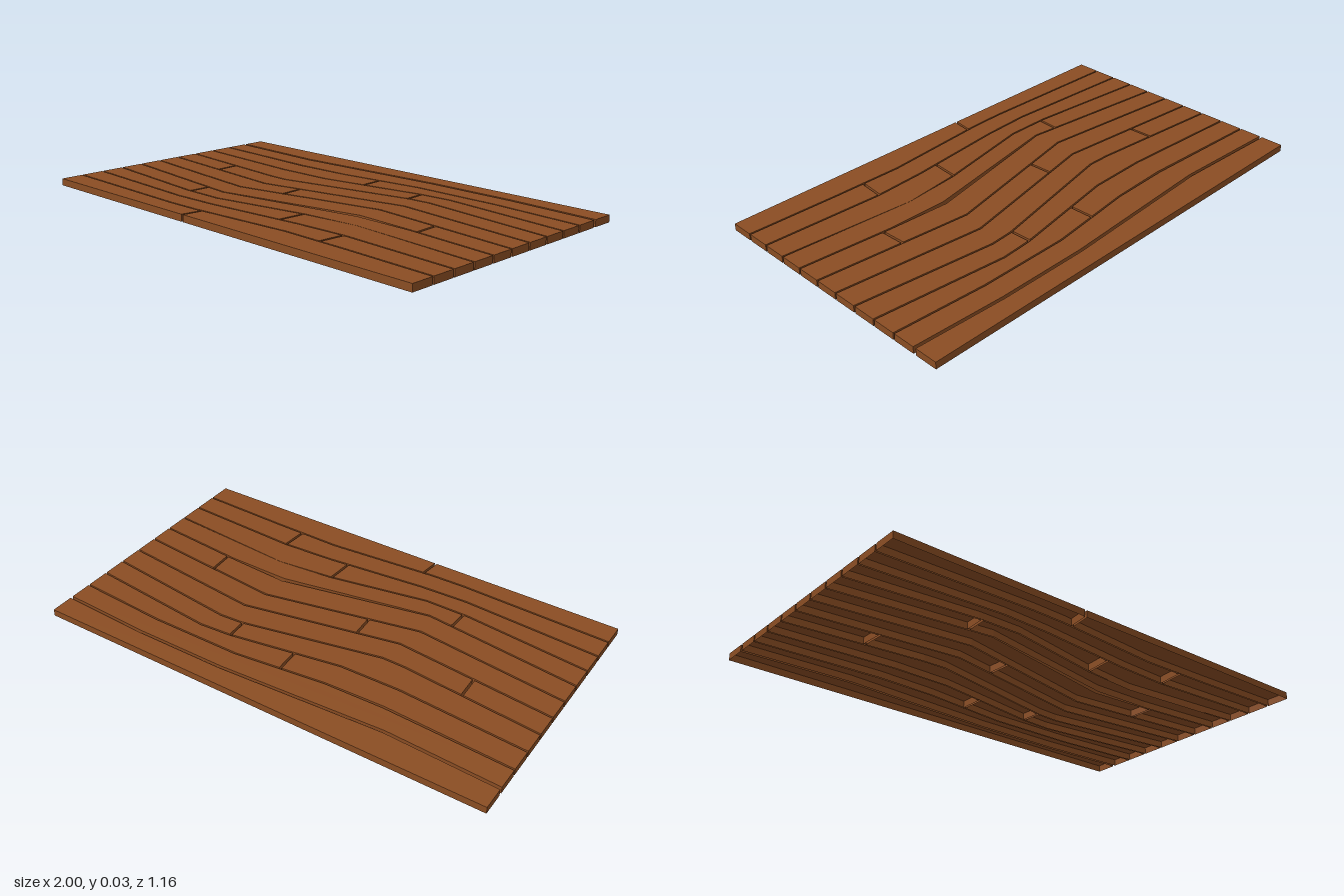
import * as THREE from 'three';

const HEIGHT = 0.03;
const JOINT = 0.01;
const GAP = 0.007;

// Bends of each seam, back to front: [x, offset from its straight line, gap if unusual]
const bends = [
  [[-0.52, 0.02], [0.2, -0.018], [0.6, -0.018]],
  [[-0.45, 0.026, 0.01], [-0.19, 0.019], [0.2, -0.025], [0.6, -0.025]],
  [[-0.45, 0.035], [-0.19, 0.031], [0.29, -0.049], [0.43, -0.058]],
  [[-0.4, 0.056], [-0.3, 0.058], [0.3, -0.064], [0.4, -0.07]],
  [[-0.31, 0.065], [0.36, -0.068]],
  [[-0.34, 0.072], [0.33, -0.065], [0.51, -0.048]],
  [[-0.32, 0.078], [0.33, -0.045, 0.02], [0.6, -0.035]],
  [[-0.45, 0.054], [-0.26, 0.055], [0.17, -0.023], [0.42, -0.046, 0.001]],
  [[-0.4, 0.033], [-0.19, 0.025], [0.25, -0.016], [0.48, -0.026]],
  [[-0.34, 0.019], [-0.19, 0.016], [0.29, -0.02], [0.6, -0.014]],
];

// Butt joints by row: [x at the middle, slant from back edge to front edge]
const joints = {
  2: [0.003, 0.004], 3: [0.29, 0.005], 4: [-0.66, 0.004], 5: [-0.127, 0.006],
  6: [0.634, 0.005], 7: [-0.431, -0.004], 8: [0.162, -0.008], 9: [0.472, -0.009],
  10: [-0.153, -0.01],
};

// Seam lines are evenly spaced; the first one is wider
function makeSeam(points, i) {
  const z = -0.475 + 0.1058 * i;
  const width = i === 0 ? 0.013 : GAP;
  return [[-1, 0], ...points, [1, 0]].map(([x, dz, gap = width]) => [x, z + dz, gap]);
}

const border = (z) => [[-1, z, 0], [1, z, 0]];
const seams = [border(-0.58), ...bends.map(makeSeam), border(0.58)];

// One edge of a seam between x0 and x1: side -1 is its back edge, +1 its front edge
function edgePoints(seam, side, x0, x1) {
  const edge = seam.map(([x, z, gap]) => [x, z + side * gap / 2]);
  const at = (x) => {
    const i = Math.max(1, edge.findIndex((p) => p[0] >= x));
    const [a, b] = [edge[i - 1], edge[i]];
    return [x, a[1] + (b[1] - a[1]) * (x - a[0]) / (b[0] - a[0])];
  };
  return [at(x0), ...edge.filter(([x]) => x > x0 + 0.002 && x < x1 - 0.002), at(x1)];
}

// A plank is an extruded outline, open underneath
function plankGeometry(back, front, left, right) {
  const outline = [
    ...edgePoints(front, -1, left[1], right[1]),
    ...edgePoints(back, 1, left[0], right[0]).reverse(),
  ];
  const shape = new THREE.Shape(outline.map(([x, z]) => new THREE.Vector2(x, -z)));
  const solid = new THREE.ExtrudeGeometry(shape, { depth: HEIGHT, bevelEnabled: false });
  const skip = solid.groups[0].count / 2; // underside comes first
  const geometry = new THREE.BufferGeometry();
  geometry.setAttribute('position',
    new THREE.BufferAttribute(solid.attributes.position.array.slice(skip * 3), 3));
  geometry.rotateX(-Math.PI / 2);
  geometry.computeVertexNormals();
  return geometry;
}

export function createModel() {
  const floor = new THREE.Group();
  floor.name = 'plankFloor';
  const wood = new THREE.MeshStandardMaterial({ color: 0x8a4d23, side: THREE.DoubleSide });
  wood.name = 'brownWood';

  for (let row = 0; row < seams.length - 1; row++) {
    // Each end is [x at back edge, x at front edge]
    const ends = [[-1, -1], [1, 1]];
    if (joints[row]) {
      const [x, slant] = joints[row];
      const cut = (dx) => [x + dx - slant / 2, x + dx + slant / 2];
      ends.splice(1, 0, cut(-JOINT / 2), cut(JOINT / 2));
    }
    for (let i = 0; i < ends.length; i += 2) {
      const plank = new THREE.Mesh(
        plankGeometry(seams[row], seams[row + 1], ends[i], ends[i + 1]), wood);
      plank.name = `plankRow${row + 1}Piece${i / 2 + 1}`;
      floor.add(plank);
    }
  }
  return floor;
}
